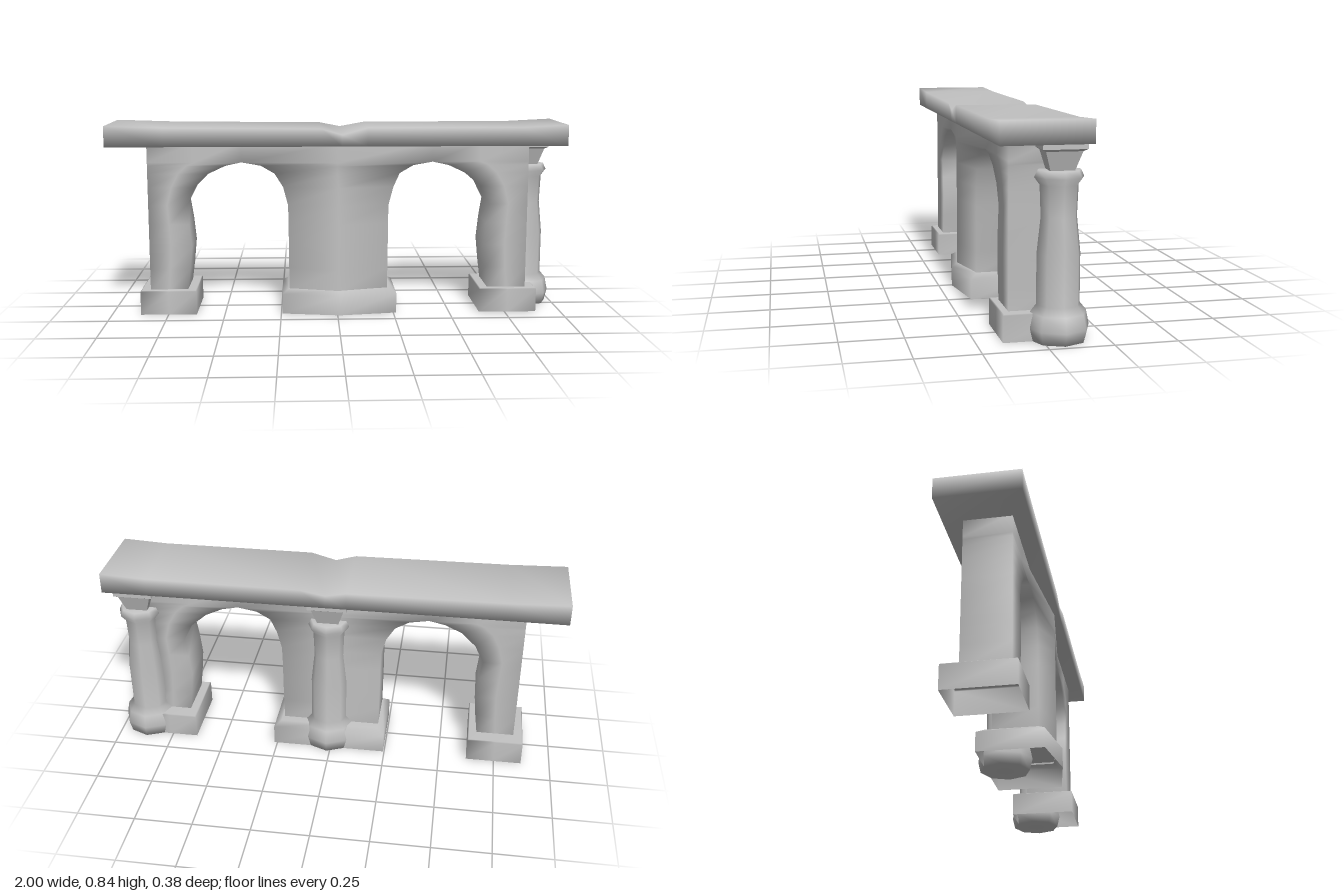
import * as THREE from 'three';
import { mergeVertices, mergeGeometries } from 'three/addons/utils/BufferGeometryUtils.js';

const stone = new THREE.MeshStandardMaterial({ color: 0xc2c2c2, side: THREE.DoubleSide });
stone.name = 'grey stone';

// Skins a list of equal-sized rings of [x, y, z]; skip(a, b, c, d) drops a quad
function loft(rings, { first = false, last = false, skip = () => false } = {}) {
  const n = rings[0].length;
  const index = [];
  for (let i = 0; i < rings.length - 1; i++) {
    for (let j = 0; j < n; j++) {
      const k = (j + 1) % n;
      if (skip(rings[i][j], rings[i][k], rings[i + 1][j], rings[i + 1][k])) continue;
      const a = i * n + j, b = i * n + k;
      index.push(a, b, b + n, a, b + n, a + n);
    }
  }
  const end = (rings.length - 1) * n;
  for (let j = 1; j < n - 1; j++) {
    if (first) index.push(0, j + 1, j);
    if (last) index.push(end, end + j, end + j + 1);
  }
  const geo = new THREE.BufferGeometry();
  geo.setAttribute('position', new THREE.Float32BufferAttribute(rings.flat(2), 3));
  geo.setIndex(index);
  return geo;
}

function smooth(geo) {
  geo = mergeVertices(geo, 1e-4);
  geo.computeVertexNormals();
  return geo;
}

function mesh(name, geo) {
  const m = new THREE.Mesh(geo, stone);
  m.name = name;
  return m;
}

// Horizontal ring with an optional bow in the middle of the front
function footprint(x0, x1, y, front, bow, back) {
  const mid = (x0 + x1) / 2;
  return [[x0, y, front], [mid, y, bow], [x1, y, front], [x1, y, back], [mid, y, back], [x0, y, back]];
}

// Arch wall: three piers that flare out above the springing and meet at the crowns
const CROWN = 0.42;
const LEVELS = [0.1, 0.2, 0.3, 0.4, 0.485, 0.565, 0.625, 0.66, 0.675, 0.76];
const SIDE_INNER = [0.665, 0.652, 0.642, 0.652, 0.665, 0.625, 0.565, 0.49, CROWN, CROWN];
const MIDDLE = [0.213, 0.214, 0.215, 0.215, 0.217, 0.238, 0.275, 0.335, CROWN, CROWN];

function archWall() {
  const front = 0.12, back = -0.08;
  const skip = (...p) => p.every(v => Math.abs(Math.abs(v[0]) - CROWN) < 1e-6);
  const pier = (edges, bow) =>
    loft(LEVELS.map((y, i) => footprint(...edges(i), y, front, bow, back)), { skip });
  const shift = i => (LEVELS[i] < 0.6 ? 0.01 : 0);
  return smooth(mergeGeometries([
    pier(i => [-0.83, -SIDE_INNER[i]], front),
    pier(i => [-MIDDLE[i], MIDDLE[i] + shift(i)], 0.165),
    pier(i => [SIDE_INNER[i] + shift(i), 0.845], front),
  ]));
}

// Hollow plinth with a slightly chamfered top
function plinth(x0, x1, bow, shoulder, inset) {
  return smooth(loft([
    footprint(x0, x1, 0, 0.15, bow, -0.145),
    footprint(x0, x1, shoulder, 0.15, bow, -0.145),
    footprint(x0 + inset, x1 - inset, 0.108, 0.15 - inset, bow - inset, -0.145 + inset),
  ], { last: true }));
}

// Top slab with a worn notch near the middle and slightly raised ends
function slab() {
  const stations = [
    [-1, 0.84, 0.84], [-0.75, 0.832, 0.832], [-0.07, 0.826, 0.826], [0.02, 0.8, 0.808],
    [0.13, 0.83, 0.828], [0.8, 0.83, 0.83], [1, 0.84, 0.84],
  ];
  return smooth(loft(stations.map(([x, yf, yb]) => [
    [x, yf, 0.188], [x, 0.75, 0.188], [x, 0.75, -0.163], [x, yb, -0.163],
  ]), { first: true, last: true }));
}

// Eight-sided column with bulbous foot, collar and square capital
function column(name) {
  const g = new THREE.Group();
  g.name = name;
  const profile = [
    [0, 0], [0.11, 0], [0.122, 0.05], [0.11, 0.107], [0.085, 0.137], [0.085, 0.33],
    [0.07, 0.47], [0.075, 0.59], [0.096, 0.618], [0.083, 0.645], [0, 0.645],
  ].map(p => new THREE.Vector2(...p));
  g.add(mesh('columnShaft', new THREE.LatheGeometry(profile, 8)));

  const square = (h, y) => [[-h, y, h], [h, y, h], [h, y, -h], [-h, y, -h]];
  const capital = loft([
    square(0.045, 0.64), square(0.07, 0.718), square(0.085, 0.727), square(0.085, 0.755),
  ], { last: true }).toNonIndexed();
  capital.computeVertexNormals();
  g.add(mesh('columnCapital', capital));
  return g;
}

export function createModel() {
  const model = new THREE.Group();
  model.name = 'arcade';
  model.add(
    mesh('topSlab', slab()),
    mesh('archWall', archWall()),
    mesh('rightPlinth', plinth(-0.872, -0.625, 0.15, 0.104, 0.005)),
    mesh('middlePlinth', plinth(-0.245, 0.263, 0.19, 0.088, 0.03)),
    mesh('leftPlinth', plinth(0.635, 0.89, 0.15, 0.104, 0.005)),
  );

  // Columns along the back
  for (const [name, x] of [['middleColumn', 0.015], ['leftColumn', 0.87]]) {
    const c = column(name);
    c.position.set(x, 0, -0.066);
    model.add(c);
  }
  return model;
}
